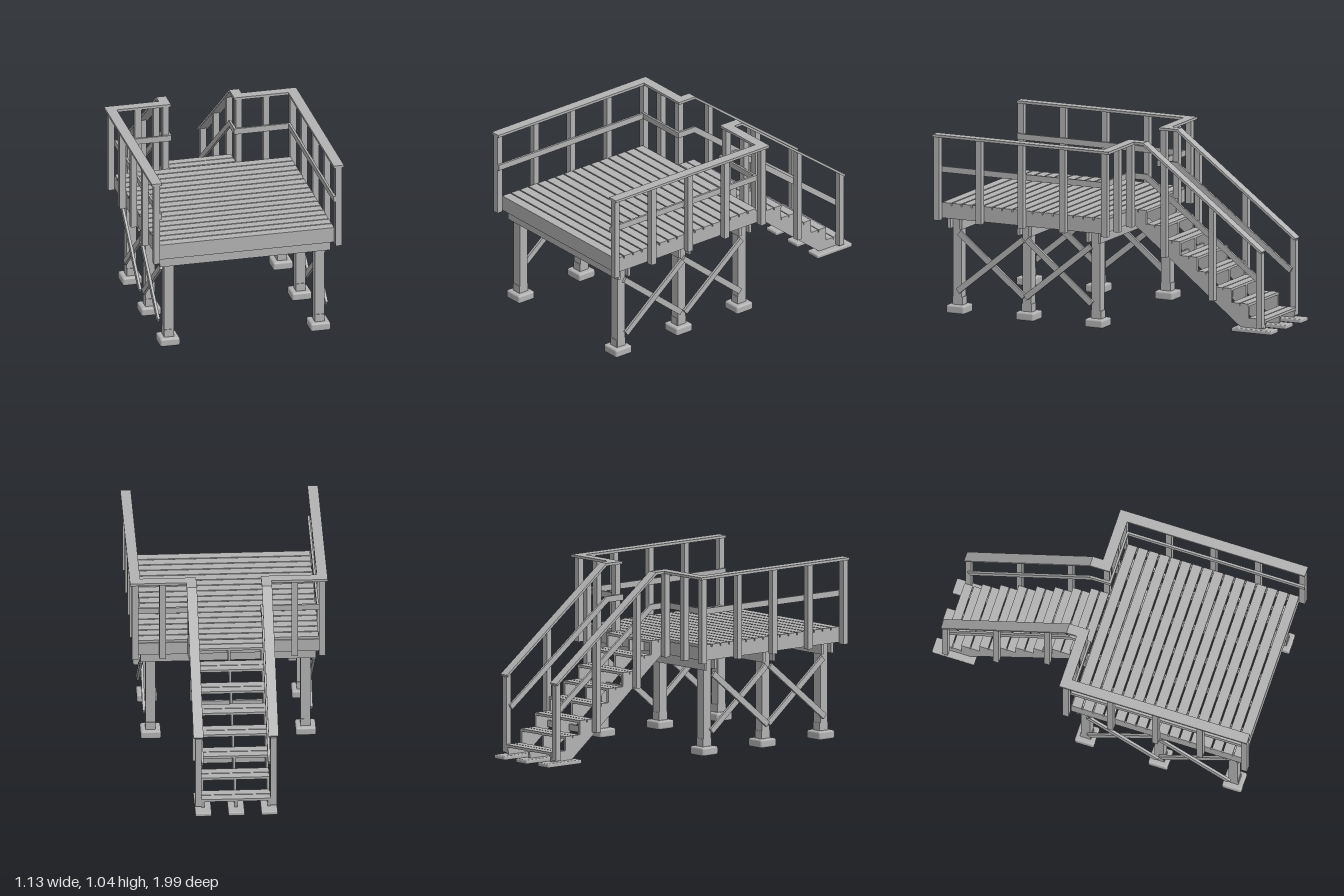
import * as THREE from 'three';
import { RoundedBoxGeometry } from 'three/addons/geometries/RoundedBoxGeometry.js';

export function createModel() {
  const root = new THREE.Group();
  root.name = 'deckWithStairs';
  const timber = new THREE.MeshStandardMaterial({ color: 0xb2b2b2 });
  timber.name = 'greyTimber';

  const add = (name, geometry) => {
    const mesh = new THREE.Mesh(geometry, timber);
    mesh.name = name;
    root.add(mesh);
    return mesh;
  };
  // Box given by its lower and upper limits on each axis
  const box = (name, x0, x1, y0, y1, z0, z1) => {
    const m = add(name, new THREE.BoxGeometry(Math.abs(x1 - x0), y1 - y0, z1 - z0));
    m.position.set((x0 + x1) / 2, (y0 + y1) / 2, (z0 + z1) / 2);
    return m;
  };
  // Side profile of [z, y] points, extruded across x
  const profile = (name, points, x, width) => {
    const shape = new THREE.Shape(points.map(([z, y]) => new THREE.Vector2(z, y)));
    const g = new THREE.ExtrudeGeometry(shape, { depth: width, bevelEnabled: false });
    g.rotateY(-Math.PI / 2);
    g.translate(x + width / 2, 0, 0);
    return add(name, g);
  };
  const footing = (name, w, h, d, x, z, r) =>
    add(name, new RoundedBoxGeometry(w, h, d, 2, r)).position.set(x, h / 2, z);

  // Deck boards
  const pitch = 0.0645;
  for (let i = 0; i < 16; i++) {
    const z = 0.955 - i * pitch;
    box('deckBoard', -0.515, 0.515, 0.63, 0.645, z - pitch + 0.008, z);
  }
  for (const z of [-0.13, -0.186]) box('landingBoard', -0.196, 0.196, 0.63, 0.645, z, z + 0.05);

  // Joists and rims
  for (let i = -3; i <= 3; i++) {
    const x = i * 0.1695;
    box('joist', x - 0.0065, x + 0.0065, 0.555, 0.63, -0.062, 0.942);
  }
  box('frontRim', -0.515, 0.515, 0.555, 0.63, 0.942, 0.955);
  box('backRim', -0.515, 0.515, 0.555, 0.63, -0.075, -0.062);

  // Supports: paired beams, legs and footings
  for (const z of [0.88, 0.438, -0.002]) {
    for (const s of [1, -1]) {
      const c = z + s * 0.037;
      box('beam', -0.5, 0.5, 0.495, 0.555, c - 0.009, c + 0.009);
      const x = s * 0.4415;
      box('leg', x - 0.0285, x + 0.0285, 0.045, 0.555, z - 0.028, z + 0.028);
      box('legBracket', x - 0.028, x + 0.028, 0.045, 0.095, z - 0.032, z + 0.032);
      footing('footing', 0.117, 0.05, 0.117, x, z, 0.012);
    }
  }

  // Crossed braces, in two layers outside the legs
  const brace = (x, zA, yA, zB, yB) => {
    const m = add('crossBrace', new THREE.BoxGeometry(0.015, 0.034, Math.hypot(zB - zA, yB - yA)));
    m.position.set(x, (yA + yB) / 2, (zA + zB) / 2);
    m.rotation.x = -Math.atan2(yB - yA, zB - zA);
  };
  for (const s of [1, -1]) {
    for (const z of [0.02, 0.45]) {
      brace(s * 0.4775, z, 0.135, z + 0.413, 0.47);
      brace(s * 0.4925, z, 0.47, z + 0.413, 0.135);
    }
  }

  // Railings, mirrored
  const slope = 0.75;
  const capTop = (z) => 1.045 - slope * (-0.19 - z);
  for (const s of [1, -1]) {
    for (let i = 0; i < 5; i++) {
      const z = 0.973 - i * 0.267;
      box('railPost', s * 0.515, s * 0.551, 0.545, 1.03, z - 0.018, z + 0.018);
    }
    box('backRailPost', s * 0.358, s * 0.395, 0.545, 1.03, -0.113, -0.076);
    box('stairHeadPost', s * 0.196, s * 0.232, 0.545, 1.03, -0.113, -0.076);

    box('sideCap', s * 0.503, s * 0.563, 1.03, 1.045, -0.13, 0.993);
    box('backCap', s * 0.243, s * 0.503, 1.03, 1.045, -0.13, -0.07);
    box('landingCap', s * 0.185, s * 0.243, 1.03, 1.045, -0.19, -0.07);
    box('sideMidRail', s * 0.502, s * 0.515, 0.82, 0.855, -0.076, 0.99);
    box('backMidRail', s * 0.183, s * 0.502, 0.82, 0.855, -0.076, -0.063);
    box('landingMidRail', s * 0.183, s * 0.196, 0.82, 0.855, -0.19, -0.076);

    // Sloping stair rail
    profile('stairCap', [[-0.19, 1.045], [-0.19, 1.028], [-0.935, capTop(-0.935) - 0.017],
      [-0.943, capTop(-0.943)]], s * 0.214, 0.058);
    profile('stairMidRail', [[-0.19, 0.855], [-0.18, 0.82], [-0.905, 0.278], [-0.922, 0.306]],
      s * 0.1895, 0.013);
    for (const [z, foot] of [[-0.311, 0.388], [-0.616, 0.165], [-0.921, 0.033]]) {
      const a = z - 0.017, b = z + 0.017;
      profile('stairPost', [[a, foot], [b, foot], [b, capTop(b) - 0.017], [a, capTop(a) - 0.017]],
        s * 0.214, 0.036);
    }
  }

  // Stairs: sawtooth stringers, double-board treads and pads
  const rise = 0.0807, run = 0.1083, steps = 7;
  const teeth = [[-0.075, 0.63], [-0.185, 0.63]];
  for (let i = 1; i <= steps; i++) {
    const y = 0.63 - rise * i, z = -0.185 - run * i;
    teeth.push([z + run, y], [z, y]);
    box('tread', -0.196, 0.196, y, y + 0.015, z, z + 0.051);
    box('tread', -0.196, 0.196, y, y + 0.015, z + 0.056, z + run);
  }
  teeth.push([-0.935, 0.024], [-0.785, 0.024], [-0.11, 0.555], [-0.075, 0.555]);
  for (const x of [-0.188, 0, 0.188]) {
    profile('stringer', teeth, x, 0.015);
    footing('stairPad', 0.094, 0.024, 0.255, x, -0.8725, 0.007);
  }
  box('stringerBlock', -0.181, 0.181, 0.365, 0.402, -0.362, -0.348);
  box('stringerBlock', -0.181, 0.181, 0.152, 0.19, -0.642, -0.628);

  return root;
}
